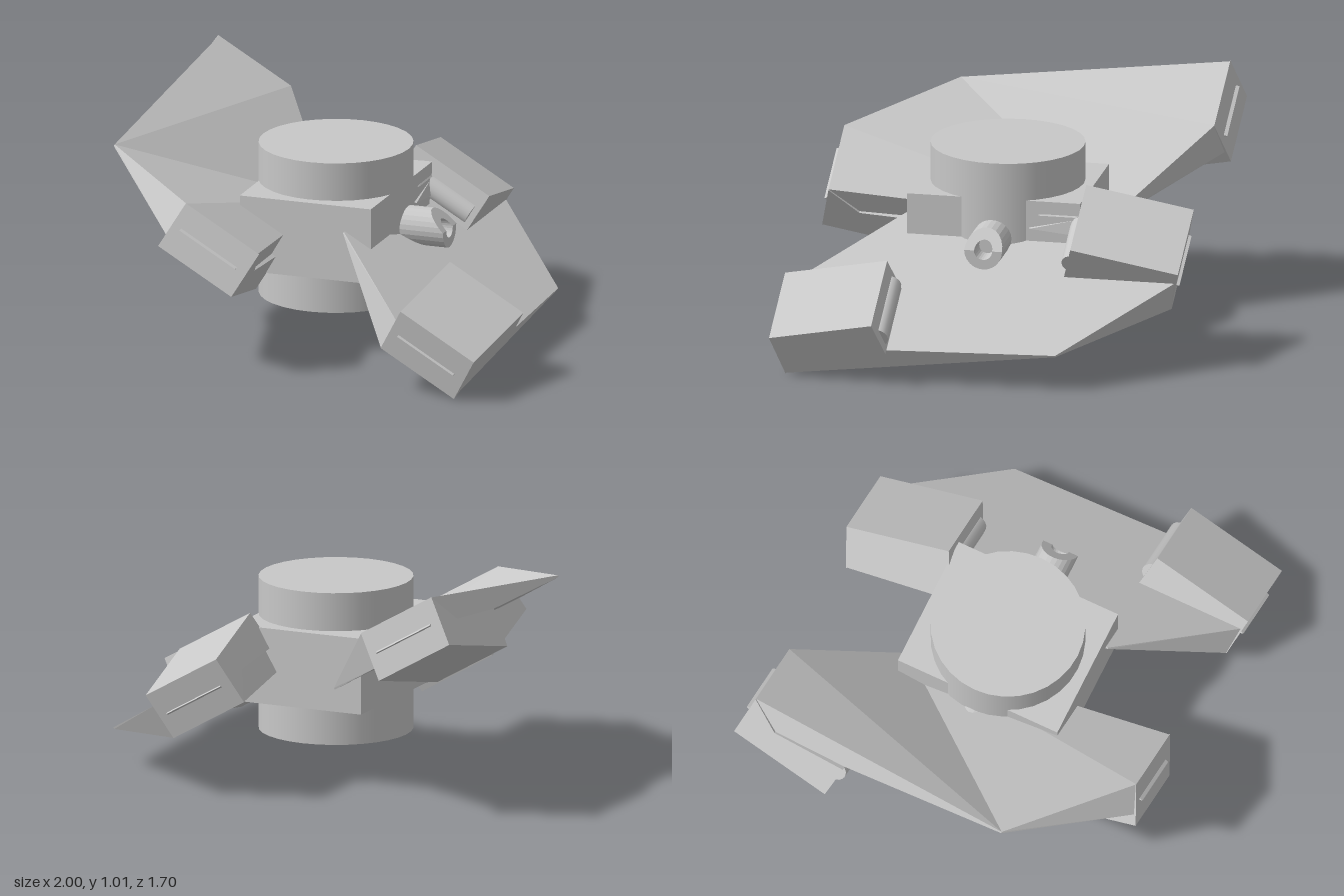
import * as THREE from 'three';
import { ConvexGeometry } from 'three/addons/geometries/ConvexGeometry.js';

const hull = new THREE.MeshStandardMaterial({ color: 0xc8c8c8 });
hull.name = 'hull grey';

const C = Math.cos(Math.PI / 6), S = 0.5, MID = 0.5;

// Wing frame: u runs along the tilted wing, v is normal to it.
// half 1 is the same shape turned half a turn about the wing centre;
// side -1 is the opposite wing, inverted through the model's centre.
function place(u, v, z, side, half) {
  if (half) { u = -1.05 - u; z = -z; }
  return new THREE.Vector3(
    side * (C * u + S * v), MID + side * (-S * u + C * v), side * z);
}

function solid(name, points) {
  const mesh = new THREE.Mesh(new ConvexGeometry(points), hull);
  mesh.name = name;
  return mesh;
}

// A [z, v] profile swept between two u positions
function swept(name, profile, u0, u1, side, half) {
  const pts = [];
  for (const u of [u0, u1])
    for (const [z, v] of profile) pts.push(place(u, v, z, side, half));
  return solid(name, pts);
}

function makeWing(side) {
  const wing = new THREE.Group();
  wing.name = side > 0 ? 'rightWing' : 'leftWing';
  for (const half of [0, 1]) {
    const p = (u, v, z) => place(u, v, z, side, half);

    // Panel: thick along the end edge, thin along the diagonal
    wing.add(solid('wingPanel', [
      p(-0.97, -0.144, -0.83), p(-0.59, -0.144, -0.83),
      p(-0.125, -0.144, -0.39), p(-0.925, -0.144, 0.39),
      p(-0.97, 0.018, -0.8), p(-0.59, 0.018, -0.8),
      p(-0.125, -0.136, -0.39), p(-0.925, -0.136, 0.39),
    ]));

    // Pod with a sloping outer face, and the wedge over its end
    wing.add(swept('pod',
      [[-0.827, -0.1], [-0.85, -0.2], [-0.39, -0.315], [-0.345, -0.144]],
      -0.975, -0.588, side, half));
    wing.add(swept('podEndWedge',
      [[-0.8, 0.018], [-0.85, -0.2], [-0.65, -0.144]],
      -0.975, -0.588, side, half));

    // Narrow ridge across the end face
    wing.add(swept('endRidge',
      [[-0.815, -0.097], [-0.815, -0.079], [-0.838, -0.088]],
      -0.925, -0.63, side, half));

    // Roller set into the inner face of the pod
    const roller = new THREE.Mesh(new THREE.CylinderGeometry(0.05, 0.05, 0.32, 20), hull);
    roller.name = 'podRoller';
    roller.rotation.z = -Math.PI * 2 / 3;
    roller.position.copy(p(-0.775, -0.2, -0.385));
    wing.add(roller);
  }
  return wing;
}

// Hollow barrel whose upper tip is cut back at a slant
function makeCannon(side) {
  const profile = [[0.083, 0.28], [0.083, 0.52], [0.04, 0.52], [0.036, 0.43], [0, 0.43]];
  const geo = new THREE.LatheGeometry(profile.map(([r, x]) => new THREE.Vector2(r, x)), 24);
  geo.rotateZ(-Math.PI / 2);
  const pos = geo.attributes.position;
  for (let i = 0; i < pos.count; i++)
    if (pos.getX(i) > 0.5) pos.setX(i, 0.52 - Math.max(0, pos.getY(i)) * 0.95);
  const flat = geo.toNonIndexed();
  flat.computeVertexNormals();
  const mesh = new THREE.Mesh(flat, hull);
  mesh.name = side > 0 ? 'leftCannon' : 'rightCannon';
  mesh.position.y = MID + 0.003 * side;
  if (side < 0) mesh.rotation.z = Math.PI;
  return mesh;
}

export function createModel() {
  const model = new THREE.Group();
  model.name = 'craft';

  // Central drum and core block
  const drum = new THREE.Mesh(new THREE.CylinderGeometry(0.333, 0.333, 0.67, 32), hull);
  drum.name = 'drum';
  drum.position.y = 0.505;
  const core = new THREE.Mesh(new THREE.BoxGeometry(0.6, 0.335, 0.76), hull);
  core.name = 'core';
  core.position.y = 0.505;
  model.add(drum, core);

  for (const side of [1, -1]) {
    model.add(makeWing(side), makeCannon(side));
    // Small struts from the core to the nearby pod
    const q = (x, y, z) => new THREE.Vector3(side * x, MID + side * (y - MID), side * z);
    model.add(solid('upperStrut', [
      q(0.24, 0.665, -0.15), q(0.305, 0.61, -0.2), q(0.24, 0.6, -0.37),
      q(0.305, 0.61, -0.37), q(0.28, 0.64, -0.37)]));
    model.add(solid('lowerStrut', [
      q(0.27, 0.56, -0.14), q(0.31, 0.55, -0.16), q(0.28, 0.56, -0.37),
      q(0.31, 0.53, -0.37), q(0.3, 0.6, -0.37)]));
  }
  return model;
}
